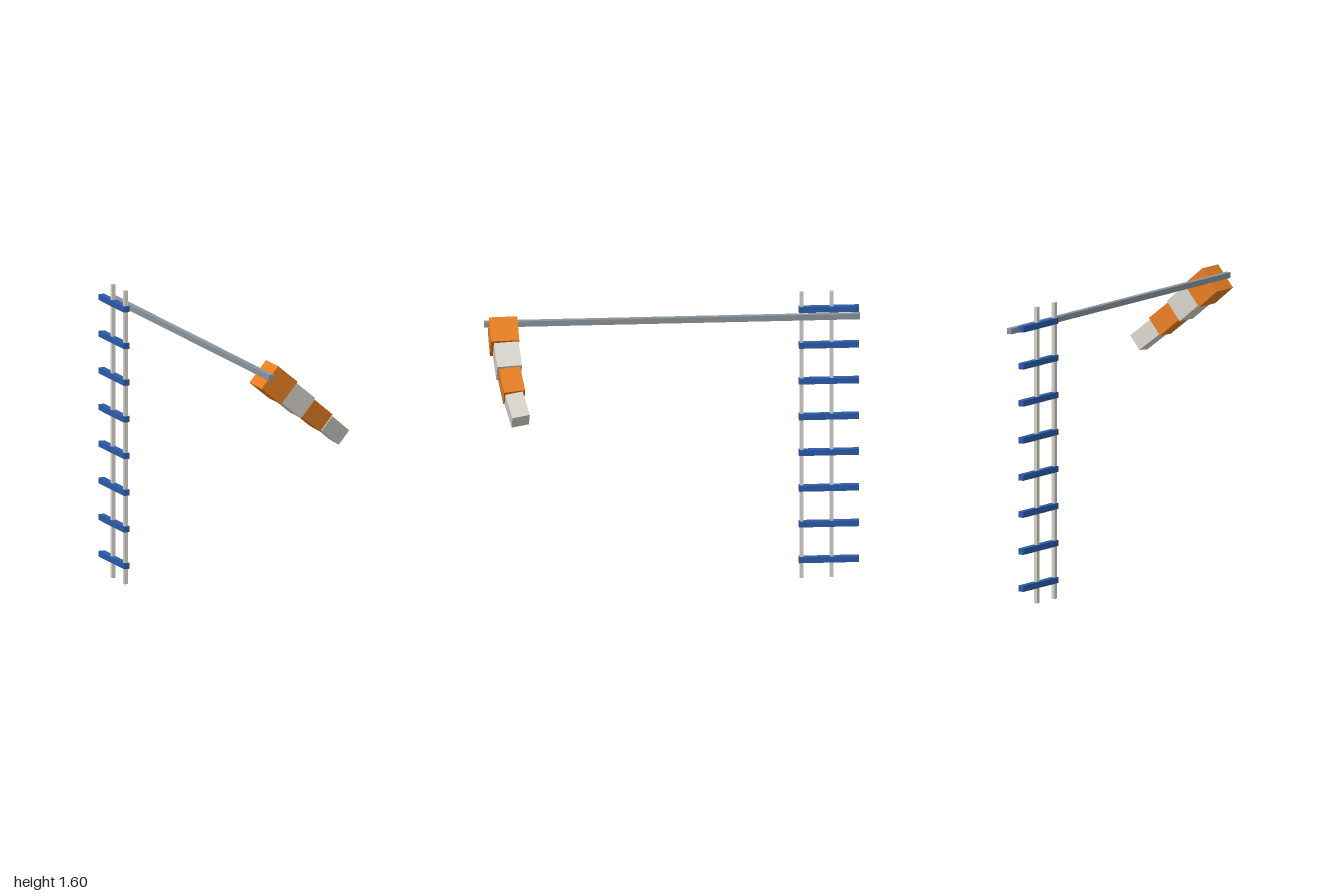
import * as THREE from 'three';

const mat = (color) => new THREE.MeshStandardMaterial({ color, flatShading: true });
const steel = mat(0x8a949c), cream = mat(0xd6d3ca), blue = mat(0x2a5caa), orange = mat(0xe67e22);

function box(name, material, size, position) {
  const mesh = new THREE.Mesh(new THREE.BoxGeometry(...size), material);
  mesh.name = name;
  mesh.position.set(...position);
  return mesh;
}

// Upright ladder: two thin rails with evenly spaced rungs
function createLadder() {
  const ladder = new THREE.Group();
  ladder.name = 'ladder';
  const x = -0.28;
  for (const z of [-0.695, -0.855]) {
    ladder.add(box('ladderRail', cream, [0.02, 1.6, 0.02], [x, 0.8, z]));
  }
  for (let i = 0; i < 8; i++) {
    ladder.add(box('ladderRung', blue, [0.032, 0.032, 0.32], [x, 0.1 + 0.2 * i, -0.84]));
  }
  return ladder;
}

// Drooping windsock: four shrinking striped blocks, each swung further to the back
function createWindsock() {
  const sock = new THREE.Group();
  sock.name = 'windsock';
  const yaws = [1, 4, 7.5, 11.5];
  const depths = [0.9, 0.888, 0.874, 0.853];
  for (let i = 0; i < 4; i++) {
    const width = 0.15 - 0.0183 * i;
    const segment = box('windsockSegment', i % 2 ? cream : orange, [0.15, width, width],
      [-0.147 + 0.1183 * i, 1.431 - 0.0977 * i, depths[i]]);
    // Tilt down around z, then swing around the segment's own upright axis
    segment.rotation.set(0, THREE.MathUtils.degToRad(yaws[i]), THREE.MathUtils.degToRad(-40), 'ZYX');
    sock.add(segment);
  }
  return sock;
}

export function createModel() {
  const model = new THREE.Group();
  model.name = 'windsockAndLadder';
  model.add(createLadder(), createWindsock());
  // Long horizontal beam carrying the windsock
  model.add(box('beam', steel, [0.03, 0.03, 2], [-0.205, 1.482, 0]));
  return model;
}
